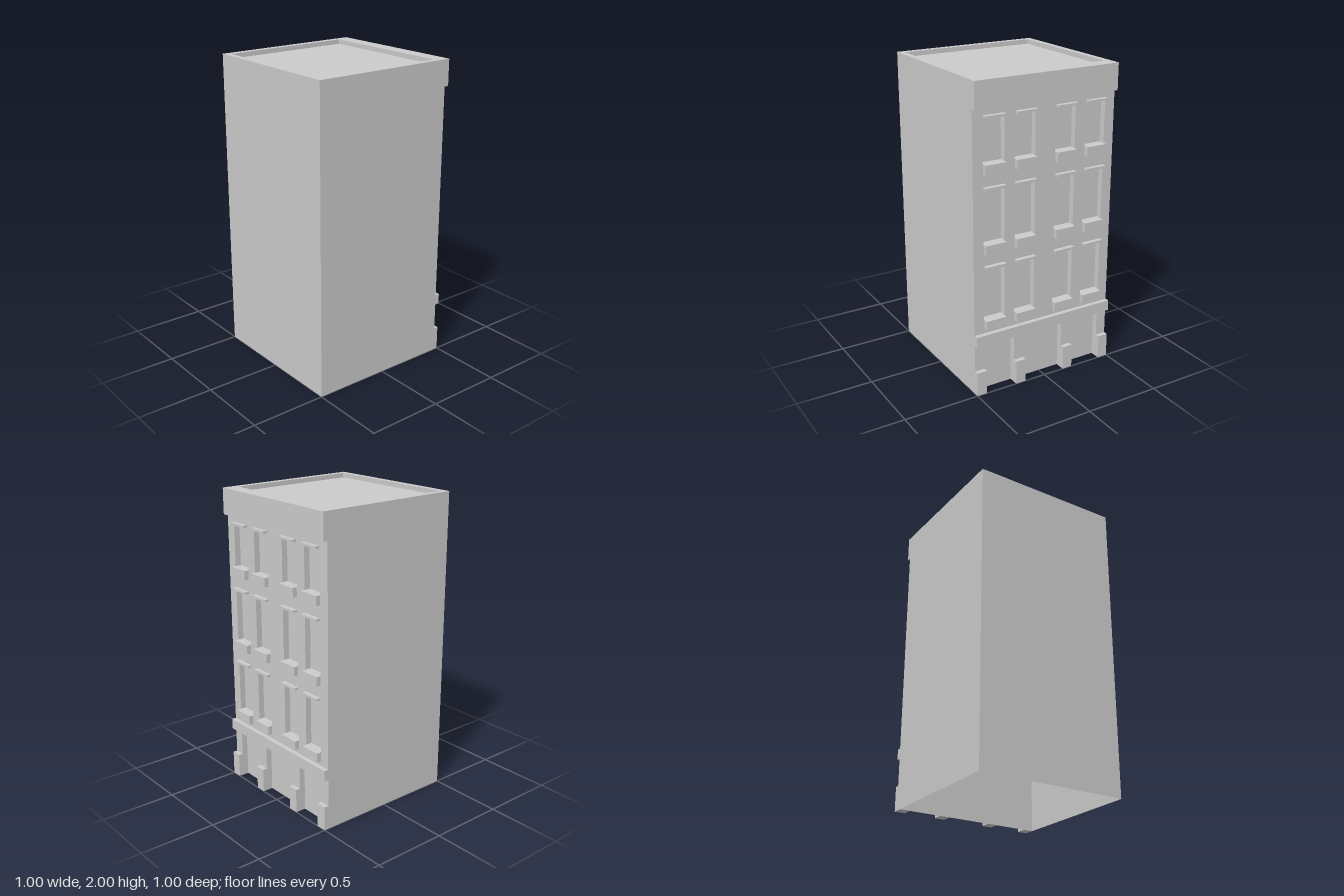
import * as THREE from 'three';

export function createModel() {
  const model = new THREE.Group();
  const mat = new THREE.MeshStandardMaterial({ color: 0xcccccc, side: THREE.DoubleSide, flatShading: true });

  const add = (name, geo, parent = model) => {
    const mesh = new THREE.Mesh(geo, mat);
    mesh.name = name;
    parent.add(mesh);
    return mesh;
  };
  // Box given by its limits on each axis
  const block = (name, x0, x1, y0, y1, z0, z1, parent) =>
    add(name, new THREE.BoxGeometry(x1 - x0, y1 - y0, z1 - z0)
      .translate((x0 + x1) / 2, (y0 + y1) / 2, (z0 + z1) / 2), parent);
  // Upright flat panel, turned about y
  const panel = (name, width, y0, y1, x, z, turn) =>
    add(name, new THREE.PlaneGeometry(width, y1 - y0).rotateY(turn).translate(x, (y0 + y1) / 2, z));
  const rect = (path, a0, a1, b0, b1) => {
    path.moveTo(a0, b0).lineTo(a1, b0).lineTo(a1, b1).lineTo(a0, b1).closePath();
    return path;
  };

  const RECESS = 0.43, WALL = 0.47, OUT = 0.5, ROOF = 1.97;

  // Plain outer walls, open underneath
  panel('frontWall', RECESS + 0.5, 0, 2, (RECESS - 0.5) / 2, 0.5, 0);
  panel('backWall', RECESS + 0.5, 0, 2, (RECESS - 0.5) / 2, -0.5, Math.PI);
  panel('leftHandWall', 1, 0, 2, -0.5, 0, -Math.PI / 2);
  panel('recessWall', 1, 0, ROOF, RECESS, 0, Math.PI / 2);

  // Roof sunk behind a parapet (plan shapes are drawn in x and z)
  const rim = rect(new THREE.Shape(), -0.5, WALL, -0.5, 0.5);
  rim.holes.push(rect(new THREE.Path(), -0.46, 0.405, -0.46, 0.46));
  add('parapetTop', new THREE.ShapeGeometry(rim).rotateX(-Math.PI / 2).translate(0, 2, 0));
  add('roof', new THREE.PlaneGeometry(0.865, 0.92).rotateX(-Math.PI / 2).translate(-0.0275, ROOF, 0));
  panel('parapetInside', 0.865, ROOF, 2, -0.0275, -0.46, 0);
  panel('parapetInside', 0.865, ROOF, 2, -0.0275, 0.46, Math.PI);
  panel('parapetInside', 0.92, ROOF, 2, -0.46, 0, Math.PI / 2);
  panel('parapetInside', 0.92, ROOF, 2, 0.405, 0, -Math.PI / 2);

  // Window columns [z min, z max], storeys [sill bottom, sill top, hood bottom, hood top]
  const columns = [[0.287, 0.432], [0.073, 0.216], [-0.213, -0.07], [-0.431, -0.286]];
  const storeys = [[0.44, 0.5, 0.845, 0.86], [0.94, 1, 1.345, 1.36], [1.44, 1.5, 1.775, 1.79]];
  // Ground floor piers [z min, z max]
  const piers = [[0.432, 0.5], [0.147, 0.216], [-0.213, -0.144], [-0.5, -0.431]];

  // Facade slab: bays notched between the piers, windows cut as holes (u = -z)
  const face = new THREE.Shape().moveTo(-0.5, 2).lineTo(-0.5, 0);
  piers.forEach(([z0, z1], i) => {
    if (i > 0) face.lineTo(-z1, 0.34).lineTo(-z1, 0);
    face.lineTo(-z0, 0);
    if (i < piers.length - 1) face.lineTo(-z0, 0.34);
  });
  face.lineTo(0.5, 2).closePath();
  for (const [z0, z1] of columns)
    for (const [, sillTop, hoodBottom] of storeys)
      face.holes.push(rect(new THREE.Path(), -z1, -z0, sillTop, hoodBottom));
  add('facade', new THREE.ExtrudeGeometry(face, { depth: WALL - RECESS, bevelEnabled: false })
    .rotateY(Math.PI / 2).translate(RECESS, 0, 0));

  // Sills and hoods
  const trim = new THREE.Group();
  trim.name = 'windowTrim';
  model.add(trim);
  for (const [z0, z1] of columns) {
    for (const [s0, s1, h0, h1] of storeys) {
      block('windowSill', WALL, OUT, s0, s1, z0 + 0.002, z1 - 0.002, trim);
      block('windowHood', WALL, OUT, h0, h1, z0 + 0.002, z1 - 0.002, trim);
    }
  }

  // Pier bases, band course and cornice
  for (const [z0, z1] of piers) block('pierBase', WALL, OUT, 0, 0.16, z0, z1);
  block('bandCourse', WALL, OUT, 0.34, 0.41, -0.5, 0.5);
  block('cornice', WALL, OUT, 1.83, 2, -0.5, 0.5);

  return model;
}
